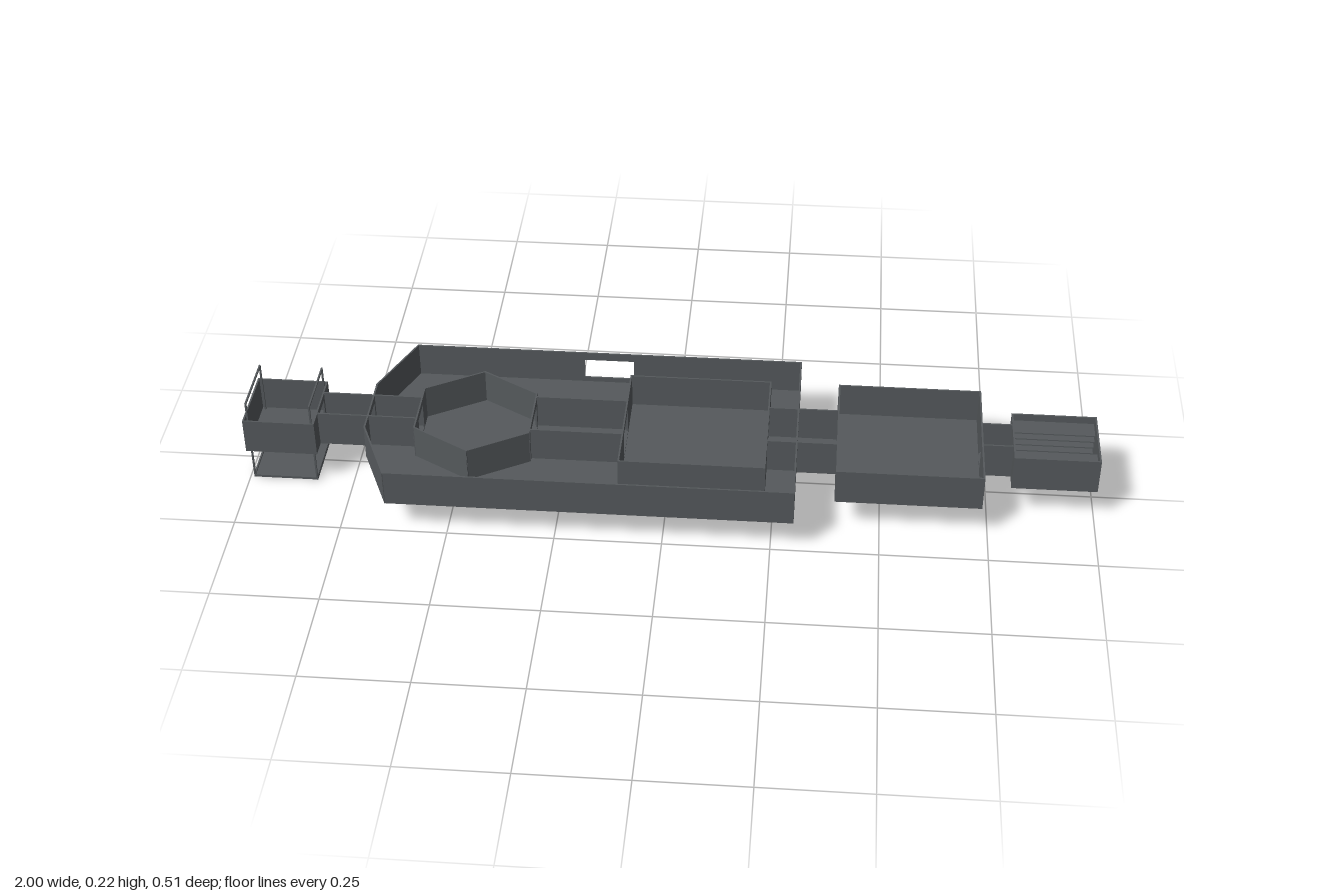
import * as THREE from 'three';

const T = 0.004; // wall and floor thickness
const TOP = 0.172;

export function createModel() {
  const model = new THREE.Group();
  const steel = new THREE.MeshStandardMaterial({ color: 0x55595c });
  steel.name = 'dark grey steel';

  function add(parent, geometry, name, x = 0, y = 0, z = 0) {
    const mesh = new THREE.Mesh(geometry, steel);
    mesh.name = name;
    mesh.position.set(x, y, z);
    parent.add(mesh);
    return mesh;
  }
  const box = (parent, name, w, h, d, x, y, z) =>
    add(parent, new THREE.BoxGeometry(w, h, d), name, x, y, z);

  // Upright panel between two plan points; opening = [centre along wall, width, bottom, top]
  function wall(parent, [x1, z1], [x2, z2], y0, opening) {
    const length = Math.hypot(x2 - x1, z2 - z1), e = T / 2;
    const shape = new THREE.Shape([
      new THREE.Vector2(-e, y0), new THREE.Vector2(length + e, y0),
      new THREE.Vector2(length + e, TOP), new THREE.Vector2(-e, TOP),
    ]);
    if (opening) {
      const [c, w, b, t] = opening;
      shape.holes.push(new THREE.Path([
        new THREE.Vector2(c - w / 2, b), new THREE.Vector2(c - w / 2, t),
        new THREE.Vector2(c + w / 2, t), new THREE.Vector2(c + w / 2, b),
      ]));
    }
    const geometry = new THREE.ExtrudeGeometry(shape, { depth: T, bevelEnabled: false });
    geometry.translate(0, 0, -e);
    const mesh = add(parent, geometry, opening ? 'wallWithOpening' : 'wall', x1, 0, z1);
    mesh.rotation.y = -Math.atan2(z2 - z1, x2 - x1);
  }

  // Open-topped room on a plan outline, with a floor and one wall for each edge
  function room(name, points, y0, openings = {}) {
    const group = new THREE.Group();
    group.name = name;
    const shape = new THREE.Shape(points.map(([x, z]) => new THREE.Vector2(x, -z)));
    const floor = new THREE.ExtrudeGeometry(shape, { depth: T, bevelEnabled: false });
    floor.rotateX(-Math.PI / 2);
    add(group, floor, 'floor', 0, y0, 0);
    points.forEach((p, i) => wall(group, p, points[(i + 1) % points.length], y0, openings[i]));
    model.add(group);
    return group;
  }
  const rect = (x1, x2, d) => [[x1, -d], [x2, -d], [x2, d], [x1, d]];
  const door = (edge, width) => [edge / 2, width, 0.092, 0.156];

  // Corridor along x: floor and two side walls
  function corridor(x1, x2, d, y0) {
    const group = new THREE.Group();
    group.name = 'corridor';
    box(group, 'floor', x2 - x1, T, 2 * d, (x1 + x2) / 2, y0 + T / 2, 0);
    for (const s of [-1, 1]) wall(group, [x1, s * d], [x2, s * d], y0);
    model.add(group);
  }

  const LOW = 0.08, BASE = 0.084;
  const narrow = 0.06, wide = 0.1;

  // Outer hull with tapered end, doors at both ends and a window in the back
  room('hull', [[-0.71, -0.085], [-0.638, -0.252], [0.3, -0.252], [0.3, 0.252], [-0.638, 0.252], [-0.71, 0.085]],
    BASE, {
      1: [0.47, 0.12, 0.1, 0.152],
      2: door(0.504, wide),
      5: door(0.17, narrow),
    });

  // Rooms inside the hull
  room('hexagonRoom', [[-0.594, -0.077], [-0.459, -0.155], [-0.324, -0.077], [-0.324, 0.077], [-0.459, 0.155], [-0.594, 0.077]],
    LOW, { 2: door(0.154, wide), 5: door(0.154, narrow) });
  room('mainRoom', rect(-0.106, 0.23, 0.166), LOW, { 1: door(0.332, wide), 3: door(0.332, wide) });

  // Rooms outside the hull
  room('outerRoom', rect(0.395, 0.73, 0.166), BASE, { 1: door(0.332, narrow), 3: door(0.332, wide) });
  const endRoom = room('endRoom', rect(0.803, 0.998, 0.084), BASE, { 3: door(0.168, narrow) });
  room('liftRoom', rect(-0.998, -0.832, 0.084), BASE, { 1: door(0.168, narrow) });

  // Stacked shelves along both sides of the end room
  for (const s of [-1, 1]) {
    for (let i = 0; i < 4; i++) {
      box(endRoom, 'shelf', 0.19, 0.003, 0.048, 0.9, 0.102 + i * 0.017, s * 0.059);
    }
  }

  // Connecting corridors
  corridor(-0.832, -0.71, 0.041, BASE);
  corridor(-0.71, -0.594, 0.041, LOW);
  corridor(-0.324, -0.106, 0.064, LOW);
  corridor(0.23, 0.3, 0.064, LOW);
  corridor(0.3, 0.395, 0.064, BASE);
  corridor(0.73, 0.803, 0.041, BASE);

  // Lift: platform hung from two thin hoops
  const lift = new THREE.Group();
  lift.name = 'lift';
  box(lift, 'platform', 0.154, 0.006, 0.154, -0.914, 0.003, 0);
  for (const x of [-0.989, -0.839]) {
    for (const z of [-0.076, 0.076]) box(lift, 'post', 0.004, 0.218, 0.004, x, 0.109, z);
    box(lift, 'topBar', 0.004, 0.004, 0.156, x, 0.216, 0);
    box(lift, 'bottomBar', 0.004, 0.004, 0.156, x, 0.009, 0);
  }
  model.add(lift);

  return model;
}
